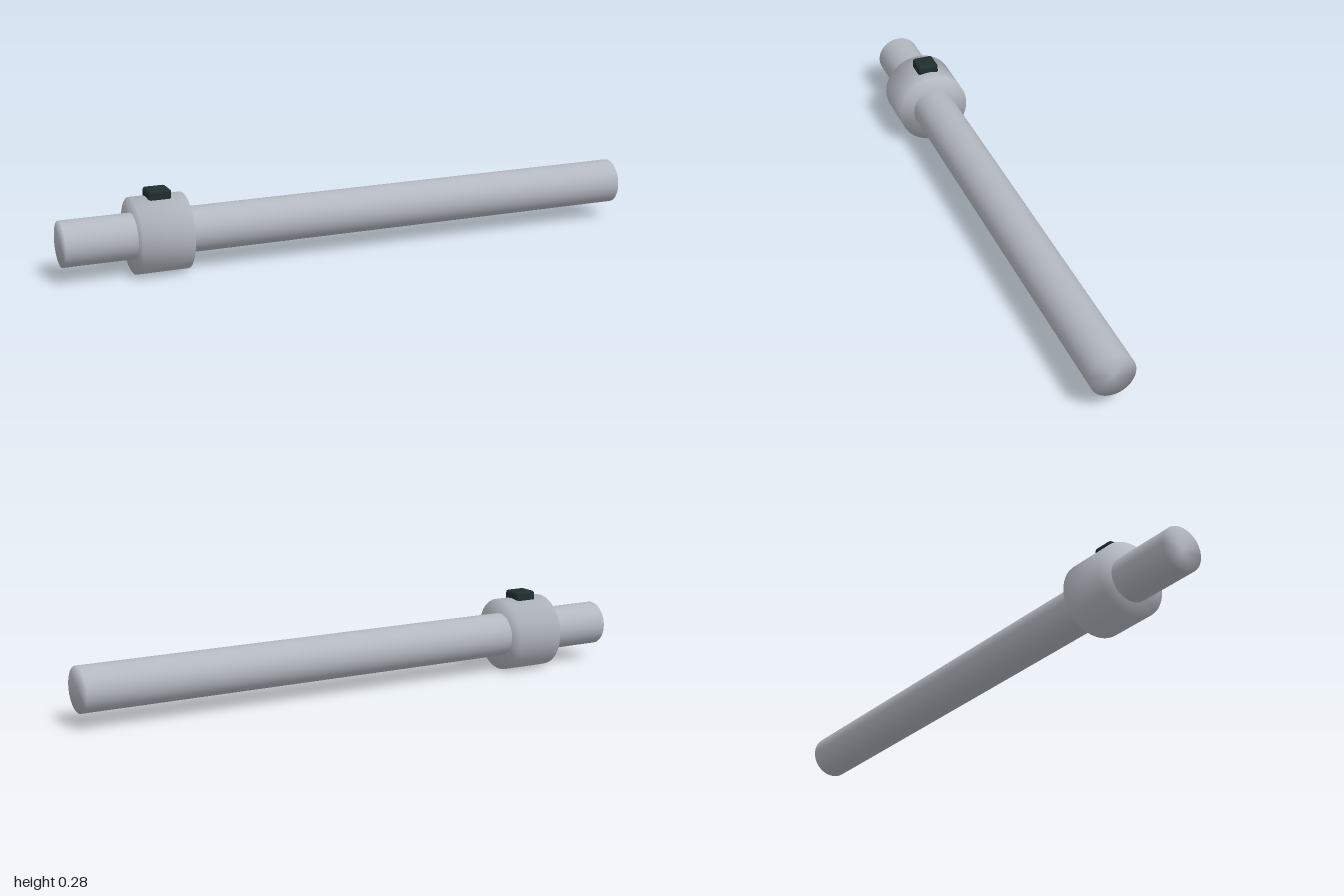
import * as THREE from 'three';
import { RoundedBoxGeometry } from 'three/addons/geometries/RoundedBoxGeometry.js';

const AXIS_Y = 0.125;

// closed cylinder along x whose normals blend softly over the rims
function softRod(name, radius, x0, x1, material) {
  const profile = [[0, x0], [radius, x0], [radius, x1], [0, x1]]
    .map(([r, y]) => new THREE.Vector2(r, y));
  const geometry = new THREE.LatheGeometry(profile, 48);
  geometry.rotateZ(-Math.PI / 2);
  const mesh = new THREE.Mesh(geometry, material);
  mesh.name = name;
  mesh.position.y = AXIS_Y;
  return mesh;
}

export function createModel() {
  const steel = new THREE.MeshStandardMaterial({ color: 0xb3b8c0 });
  steel.name = 'brushed steel';
  const dark = new THREE.MeshStandardMaterial({ color: 0x202e2e });
  dark.name = 'dark rubber';

  const group = new THREE.Group();
  group.name = 'rodWithCollar';

  // long rod and the thick collar near its right end
  group.add(softRod('rod', 0.075, -1, 1, steel));
  group.add(softRod('collar', 0.125, -0.765, -0.592, steel));

  // rounded button on top of the collar
  const button = new THREE.Mesh(new RoundedBoxGeometry(0.077, 0.044, 0.074, 3, 0.01), dark);
  button.name = 'button';
  button.position.set(-0.678, 0.253, 0);
  group.add(button);

  return group;
}
